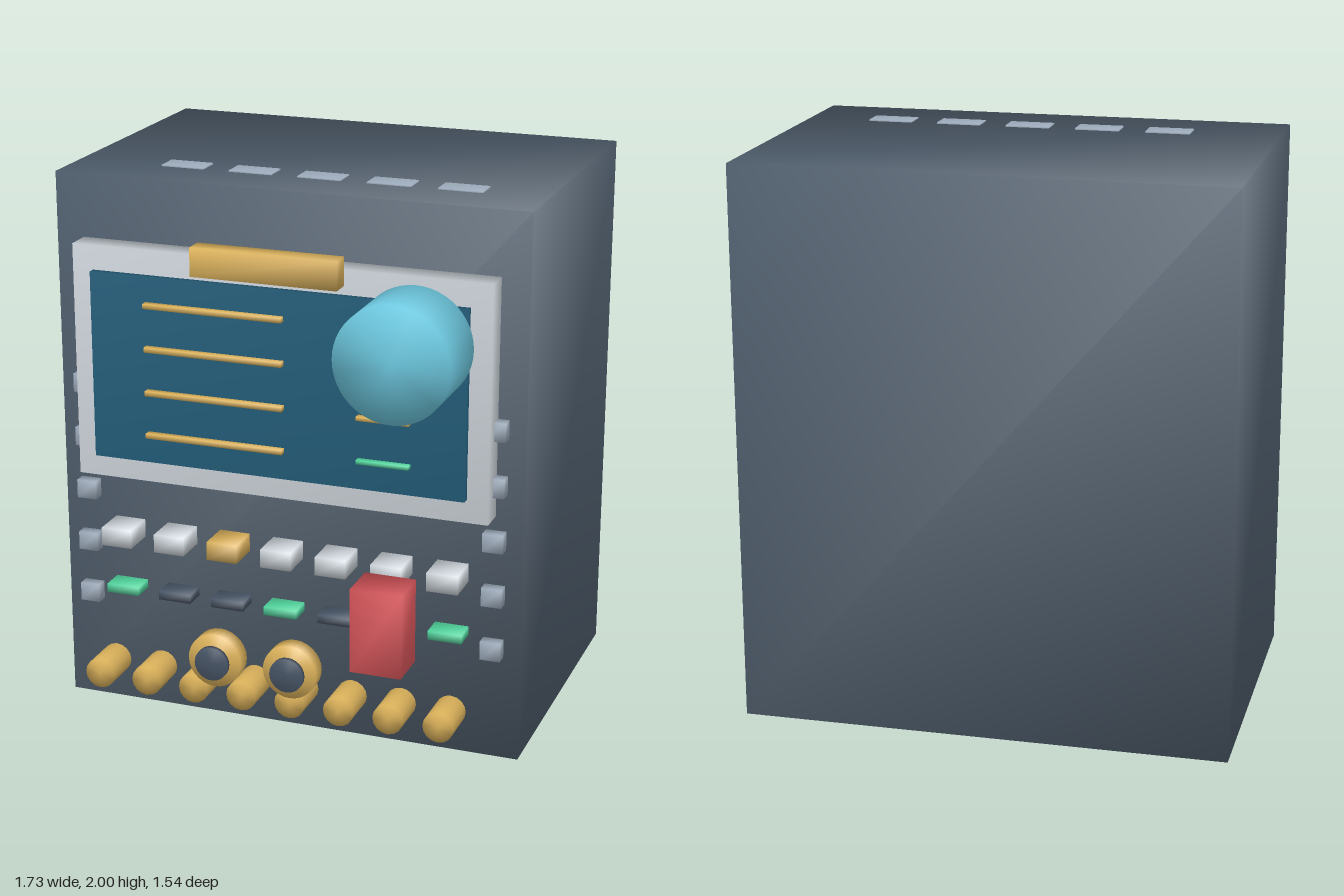
import * as THREE from 'three';
import { mergeVertices } from 'three/addons/utils/BufferGeometryUtils.js';

function paint(name, hex) {
  const m = new THREE.MeshStandardMaterial({ color: hex });
  m.name = name;
  return m;
}

// Weld shared corners so shading flows softly across edges
function soften(geometry) {
  geometry.deleteAttribute('normal');
  geometry.deleteAttribute('uv');
  const welded = mergeVertices(geometry);
  welded.computeVertexNormals();
  return welded;
}

export function createModel() {
  const slate = paint('slate casing', 0x526170);
  const silver = paint('silver', 0xccd3d9);
  const steel = paint('steel', 0x9dabbb);
  const glass = paint('screen blue', 0x225c78);
  const gold = paint('gold', 0xd9b05a);
  const cyan = paint('cyan', 0x6cc6dd);
  const red = paint('red', 0xdc575c);
  const green = paint('green', 0x4fd09a);
  const dark = paint('dark slate', 0x465364);

  const model = new THREE.Group();
  model.name = 'controlConsole';

  function add(name, geometry, material, x, y, z) {
    const mesh = new THREE.Mesh(soften(geometry), material);
    mesh.name = name;
    mesh.position.set(x, y, z);
    model.add(mesh);
  }
  // Box centred on x and y, running from z0 to z1
  function box(name, material, x, y, w, h, z0, z1) {
    add(name, new THREE.BoxGeometry(w, h, z1 - z0), material, x, y, (z0 + z1) / 2);
  }
  // Disc or knob whose axis points to the front
  function knob(name, material, x, y, r, z0, z1, sides) {
    const g = new THREE.CylinderGeometry(r, r, z1 - z0, sides).rotateX(Math.PI / 2);
    add(name, g, material, x, y, (z0 + z1) / 2);
  }

  // Casing and roof vents
  const face = 0.385;
  box('casing', slate, 0, 0.9975, 1.734, 1.995, -0.77, face);
  for (let i = 0; i < 5; i++) {
    box('roofVent', steel, -0.467 + i * 0.256, 1.994, 0.16, 0.012, 0.1, 0.19);
  }

  // Framed display with its readout lines
  box('screenFrame', silver, 0, 1.34, 1.53, 0.852, face, 0.48);
  box('screen', glass, 0, 1.338, 1.376, 0.68, 0.45, 0.508);
  [1.58, 1.422, 1.262, 1.105].forEach((y, i) => {
    box('readoutLine', gold, -0.222, y, 0.512, 0.018, 0.505, 0.535);
    box('statusLine', i % 2 ? green : gold, 0.4, y, 0.19, 0.014, 0.505, 0.535);
  });

  // Large round lens and the bar above the display
  knob('lens', cyan, 0.508, 1.543, 0.204, 0.515, 0.77, 48);
  box('topBar', gold, 0, 1.778, 0.528, 0.102, 0.54, 0.612);

  // Push buttons with indicator lamps below
  for (let i = 0; i < 7; i++) {
    const x = -0.615 + i * 0.205;
    box('pushButton', i === 2 ? gold : silver, x, 0.69, 0.114, 0.068, face, 0.514);
    box('indicatorLamp', i % 3 === 0 ? green : dark, x, 0.471, 0.124, 0.032, face, 0.472);
  }

  // Red lever block
  box('lever', red, 0.447, 0.565, 0.185, 0.308, 0.57, 0.727);

  // Two dials with dark caps
  for (const x of [-0.143, 0.137]) {
    knob('dial', gold, x, 0.378, 0.098, 0.677, 0.738, 28);
    knob('dialCap', dark, x, 0.378, 0.062, 0.752, 0.77, 24);
  }

  // Bottom row of knobs
  for (let i = 0; i < 8; i++) {
    knob('bottomKnob', gold, -0.646 + i * 0.184, 0.196, 0.056, 0.47, 0.62, 16);
  }

  // Mirrored columns of square rivets
  for (const side of [-1, 1]) {
    for (let i = 0; i < 5; i++) {
      box('rivet', steel, side * 0.768, 0.422 + i * 0.203, 0.074, 0.068, face, 0.43);
    }
  }

  return model;
}
